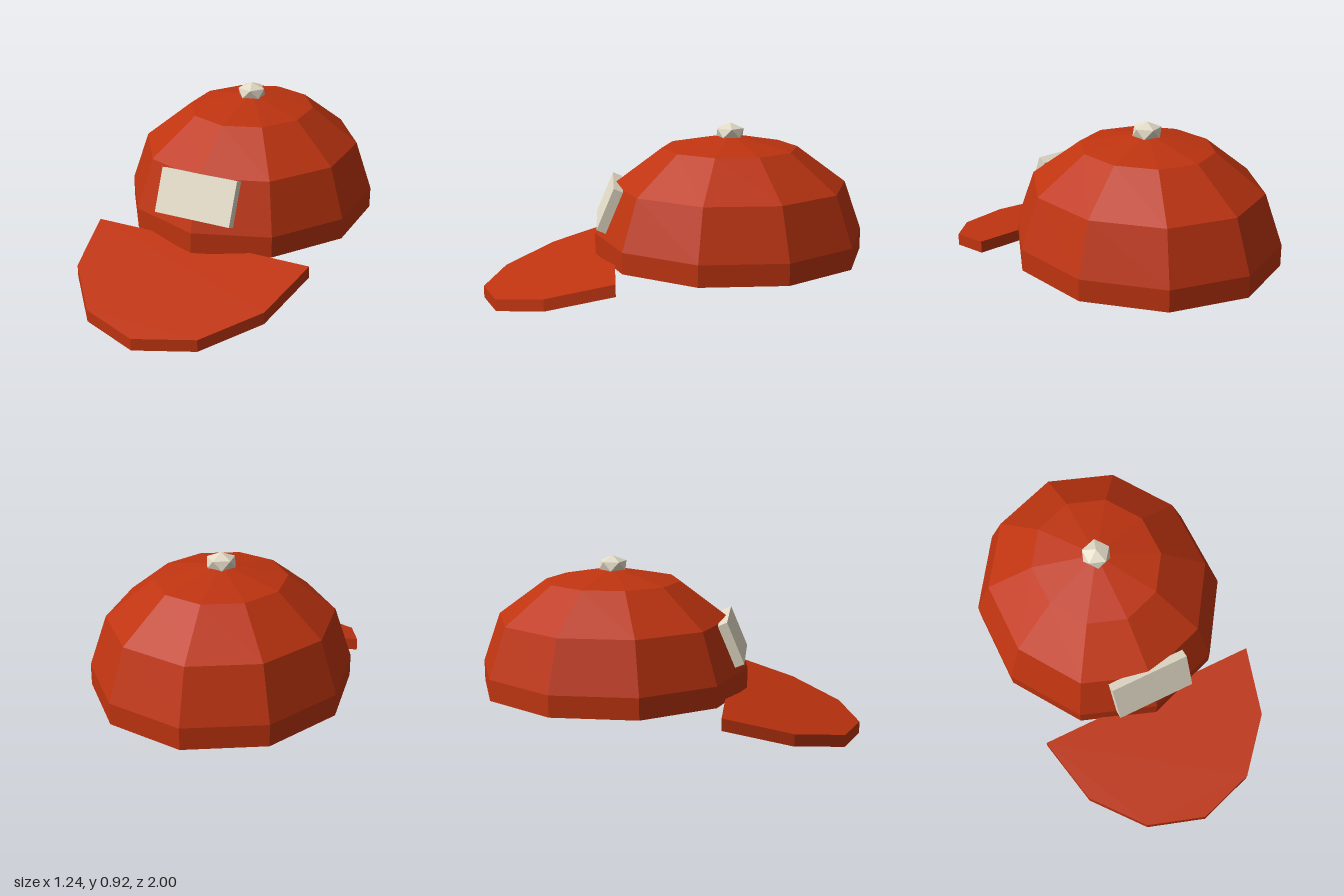
import * as THREE from 'three';

export function createModel() {
  const cap = new THREE.Group();
  cap.name = 'cap';

  const red = new THREE.MeshStandardMaterial({ color: 0xbf3410, flatShading: true, side: THREE.DoubleSide });
  red.name = 'red cloth';
  const cream = new THREE.MeshStandardMaterial({ color: 0xe2dac6, flatShading: true });
  cream.name = 'cream';

  const add = (name, geometry, material, x, y, z) => {
    const mesh = new THREE.Mesh(geometry, material);
    mesh.name = name;
    mesh.position.set(x, y, z);
    cap.add(mesh);
    return mesh;
  };

  // Crown: open ten-sided dome above a short straight band
  const profile = [new THREE.Vector2(1, -0.11)];
  for (let i = 0; i <= 3; i++) {
    const a = (i / 3) * (Math.PI / 2);
    profile.push(new THREE.Vector2(i === 3 ? 0 : Math.cos(a), 0.52 * Math.sin(a)));
  }
  const crown = new THREE.LatheGeometry(profile, 10);
  crown.scale(0.65, 1, 0.705);
  add('crown', crown, red, 0, 0.34, -0.295);

  // Brim: half-ellipse slab, sheared so it slopes down to the front
  const outline = [];
  for (let i = 0; i <= 6; i++) {
    const a = (i / 6) * Math.PI;
    outline.push(new THREE.Vector2(0.597 * Math.cos(a), -0.69 * Math.sin(a)));
  }
  const brim = new THREE.ExtrudeGeometry(new THREE.Shape(outline), { depth: 0.062, bevelEnabled: false });
  brim.rotateX(-Math.PI / 2);
  const p = brim.attributes.position;
  for (let i = 0; i < p.count; i++) p.setY(i, p.getY(i) - 0.27 * p.getZ(i));
  brim.computeVertexNormals();
  add('brim', brim, red, 0, 0.186, 0.31);

  // Front patch: plain tilted block set into the crown
  const patch = add('frontPatch', new THREE.BoxGeometry(0.415, 0.23, 0.05), cream, 0, 0.506, 0.332);
  patch.rotation.x = -0.4;

  // Top button: flattened icosahedron standing on a corner
  const button = new THREE.IcosahedronGeometry(0.08, 0);
  button.rotateZ(-Math.atan(2 / (1 + Math.sqrt(5))));
  button.scale(1, 0.63, 1);
  button.computeVertexNormals();
  add('topButton', button, cream, 0, 0.868, -0.295);

  return cap;
}
